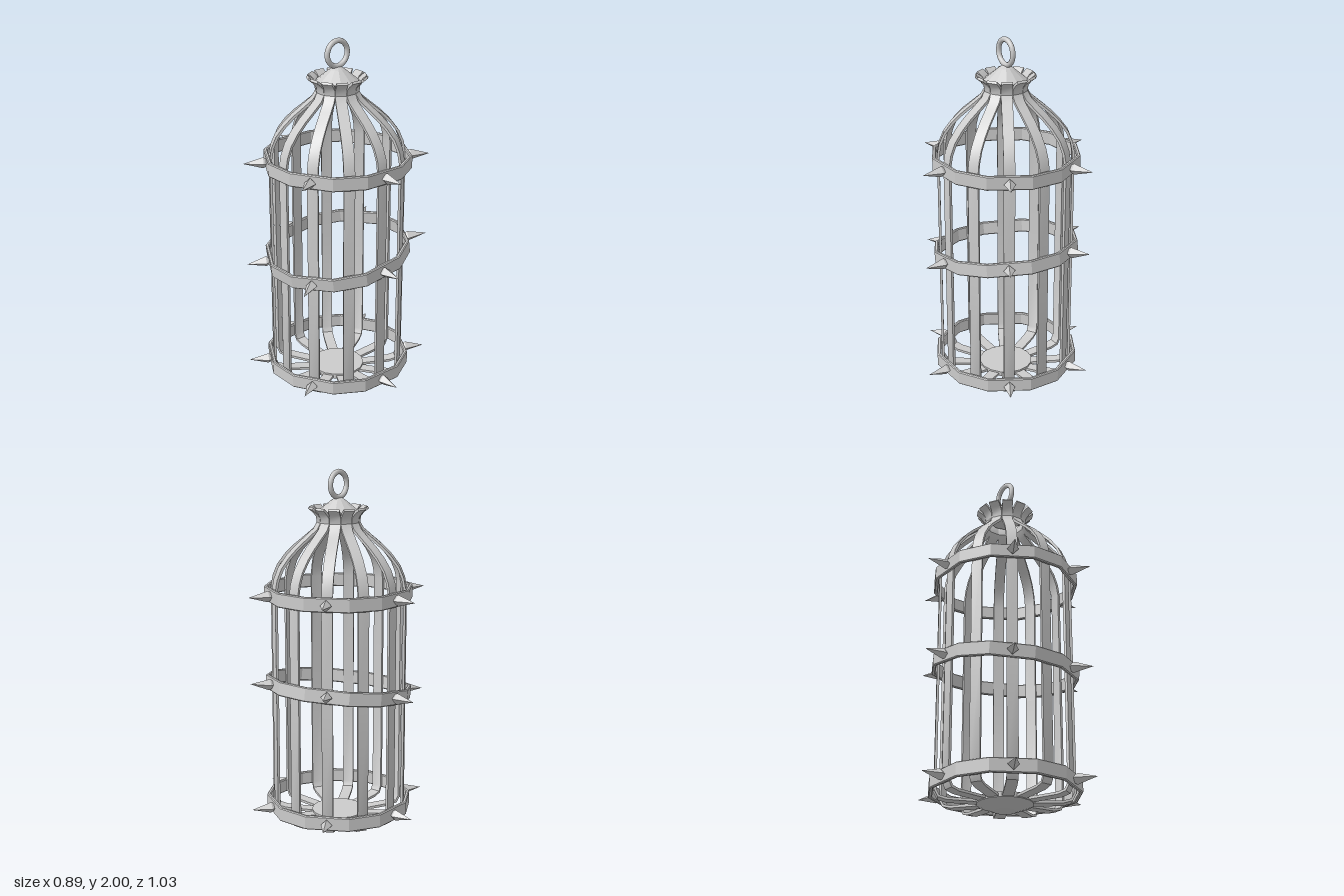
import * as THREE from 'three';
import { toCreasedNormals } from 'three/addons/utils/BufferGeometryUtils.js';

const smooth = new THREE.MeshStandardMaterial({ color: 0xcccccc });
const faceted = new THREE.MeshStandardMaterial({ color: 0xcccccc, flatShading: true });

function add(parent, name, geometry, material = smooth) {
  const mesh = new THREE.Mesh(geometry, material);
  mesh.name = name;
  parent.add(mesh);
  return mesh;
}

// Bar path as [radius, height]: floor, upright, dome, neck and flared tip
const BAR_PATH = [
  [0.12, 0.05], [0.305, 0.058], [0.348, 0.07], [0.366, 0.105], [0.366, 0.75], [0.366, 1.36],
  [0.355, 1.42], [0.33, 1.48], [0.285, 1.54], [0.235, 1.59], [0.175, 1.64],
  [0.128, 1.68], [0.108, 1.715], [0.112, 1.75], [0.132, 1.775], [0.158, 1.795],
];

// Flat strip of even thickness following a path, extruded to the bar width
function barGeometry(path, thickness, width) {
  const points = path.map(([x, y]) => new THREE.Vector2(x, y));
  const offset = (side) => points.map((p, i) => {
    const a = points[Math.max(i - 1, 0)];
    const b = points[Math.min(i + 1, points.length - 1)];
    const t = b.clone().sub(a).normalize();
    return new THREE.Vector2(p.x + t.y * side, p.y - t.x * side);
  });
  const shape = new THREE.Shape([...offset(thickness / 2), ...offset(-thickness / 2).reverse()]);
  const geometry = new THREE.ExtrudeGeometry(shape, { depth: width, bevelEnabled: false });
  geometry.translate(0, 0, -width / 2);
  return toCreasedNormals(geometry, 0.6);
}

// Twelve-sided outline, counter-clockwise, whose spiked sides are a little longer
function hoopOutline(radius) {
  const points = [];
  for (let i = 0; i < 6; i++) {
    for (const side of [-1, 1]) {
      const a = (i * Math.PI) / 3 + side * 0.298;
      points.push(new THREE.Vector2(-Math.sin(a) * radius, Math.cos(a) * radius));
    }
  }
  return points;
}

function hoopGeometry(height) {
  const bevel = 0.005;
  const shape = new THREE.Shape(hoopOutline(0.408));
  shape.holes.push(new THREE.Path(hoopOutline(0.387).reverse()));
  const geometry = new THREE.ExtrudeGeometry(shape, {
    depth: height - 2 * bevel, bevelThickness: bevel, bevelSize: bevel,
    bevelOffset: -bevel, bevelSegments: 1,
  });
  geometry.translate(0, 0, bevel - height / 2);
  return geometry.rotateX(-Math.PI / 2);
}

function lathe(profile, sides) {
  return new THREE.LatheGeometry(profile.map(([r, y]) => new THREE.Vector2(r, y)), sides);
}

export function createModel() {
  const cage = new THREE.Group();
  cage.name = 'spikedCage';

  // Twelve bent bars
  const bars = new THREE.Group();
  bars.name = 'bars';
  cage.add(bars);
  const bar = barGeometry(BAR_PATH, 0.014, 0.06);
  for (let i = 0; i < 12; i++) {
    add(bars, 'bar', bar).rotation.y = (i * Math.PI) / 6;
  }

  // Three hoops with six spikes each, the middle one tilted
  const hoop = hoopGeometry(0.078);
  const spike = lathe([[0, 0.38], [0.02, 0.385], [0.031, 0.405], [0, 0.515]], 4);
  spike.rotateX(Math.PI / 2);
  for (const [name, y, tilt] of [['lowerHoop', 0.128, 0], ['middleHoop', 0.795, 0.136], ['upperHoop', 1.333, 0]]) {
    const group = new THREE.Group();
    group.name = name;
    group.position.y = y;
    group.rotation.z = tilt;
    add(group, 'band', hoop);
    for (let i = 0; i < 6; i++) {
      add(group, 'spike', spike, faceted).rotation.y = (i * Math.PI) / 3;
    }
    cage.add(group);
  }

  // Floor plate with a shallow cone beneath
  add(cage, 'floorPlate', lathe([[0, 0], [0.06, 0.004], [0.152, 0.04], [0.152, 0.068], [0, 0.068]], 16), faceted);

  // Conical cap closing the neck
  add(cage, 'cap', lathe([[0, 1.735], [0.09, 1.745], [0.117, 1.772], [0.04, 1.834], [0.02, 1.846], [0, 1.848]], 12), faceted);

  // Hanging ring
  add(cage, 'hangingRing', new THREE.TorusGeometry(0.068, 0.0145, 10, 32)).position.y = 1.9175;

  return cage;
}
